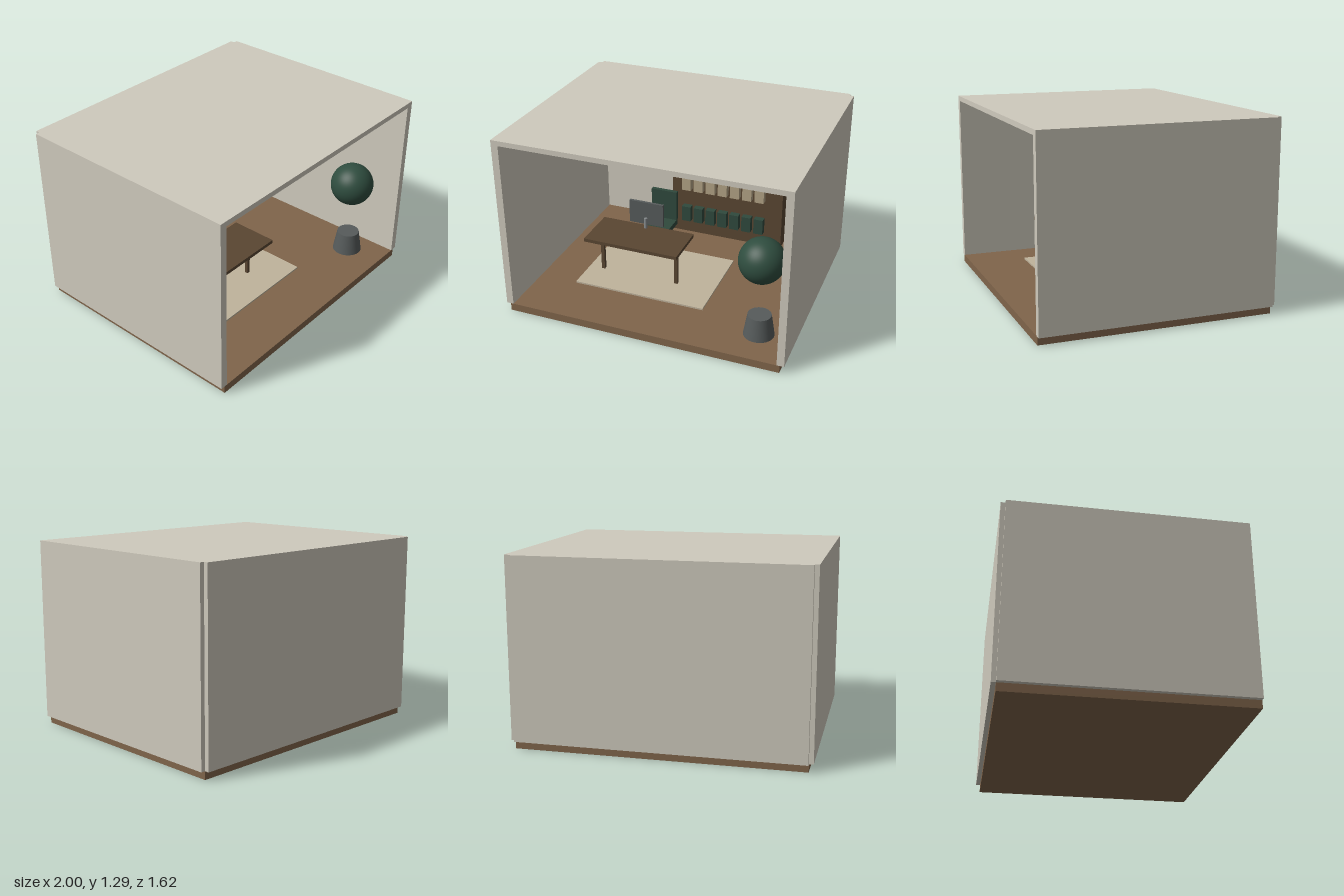
import * as THREE from 'three';

const mat = (color) => new THREE.MeshStandardMaterial({ color });
const wall = mat(0xcfcabd), floorWood = mat(0x80654b), darkWood = mat(0x5a4632);
const rugCloth = mat(0xbfb39c), green = mat(0x30493d), leaf = mat(0x2f4d3f);
const darkGreen = mat(0x283d33), grey = mat(0x565b5b), metal = mat(0x858a8c), tan = mat(0xb3a385);

export function createModel() {
  const room = new THREE.Group();
  room.name = 'officeRoom';

  const add = (name, geometry, material, parent = room) => {
    const mesh = new THREE.Mesh(geometry, material);
    mesh.name = name;
    parent.add(mesh);
    return mesh;
  };
  // Box given by its [min, max] range on each axis
  const box = (name, [x0, x1], [y0, y1], [z0, z1], material, parent) =>
    add(name, new THREE.BoxGeometry(x1 - x0, y1 - y0, z1 - z0), material, parent)
      .position.set((x0 + x1) / 2, (y0 + y1) / 2, (z0 + z1) / 2);
  const cylinder = (name, rTop, rBottom, [y0, y1], x, z, material, parent) =>
    add(name, new THREE.CylinderGeometry(rTop, rBottom, y1 - y0, 32), material, parent)
      .position.set(x, (y0 + y1) / 2, z);
  const group = (name) => {
    const g = new THREE.Group();
    g.name = name;
    room.add(g);
    return g;
  };

  // Shell, open at the front
  box('floor', [-0.97, 0.97], [0, 0.055], [-0.78, 0.81], floorWood);
  box('rightWall', [-1, -0.95], [0.055, 1.295], [-0.78, 0.81], wall);
  box('leftWall', [0.95, 1], [0.055, 1.295], [-0.78, 0.81], wall);
  box('backWall', [-0.97, 0.97], [0.055, 1.295], [-0.81, -0.76], wall);
  box('ceiling', [-0.95, 0.95], [1.26, 1.295], [-0.76, 0.81], wall);
  box('rug', [-0.665, 0.305], [0.055, 0.067], [-0.27, 0.41], rugCloth);

  // Desk on two central legs
  const desk = group('desk');
  box('deskTop', [-0.62, 0.085], [0.37, 0.395], [0, 0.34], darkWood, desk);
  for (const x of [-0.557, 0.017])
    box('deskLeg', [x - 0.0125, x + 0.0125], [0.06, 0.37], [0.155, 0.18], darkWood, desk);

  // Monitor
  const monitor = group('monitor');
  box('screen', [-0.4, -0.14], [0.42, 0.595], [0.01, 0.03], grey, monitor);
  cylinder('monitorStand', 0.012, 0.012, [0.395, 0.475], -0.27, 0.04, metal, monitor);

  // Chair
  const chair = group('chair');
  box('chairSeat', [-0.37, -0.17], [0.257, 0.297], [-0.33, -0.13], green, chair);
  box('chairBack', [-0.37, -0.17], [0.297, 0.53], [-0.34, -0.31], green, chair);
  cylinder('chairPost', 0.011, 0.011, [0.06, 0.257], -0.27, -0.23, metal, chair);

  // Bookcase with four rows of seven books
  const bookcase = group('bookcase');
  box('bookcaseBody', [-0.31, 0.575], [0.055, 1.03], [-0.72, -0.59], darkWood, bookcase);
  [[0.17, green], [0.438, tan], [0.703, grey], [0.967, darkGreen]].forEach(([y, material]) => {
    for (let i = 0; i < 7; i++) {
      const x = -0.18 + i * 0.0975;
      box('book', [x - 0.036, x + 0.036], [y, y + 0.123], [-0.595, -0.54], material, bookcase);
    }
  });

  // Ceiling lamp
  cylinder('lamp', 0.06, 0.06, [1.11, 1.135], -0.27, 0.1, metal);

  // Potted plant
  const plant = group('plant');
  cylinder('pot', 0.08, 0.105, [0.065, 0.22], 0.75, 0.54, grey, plant);
  add('foliage', new THREE.SphereGeometry(0.154, 48, 32), leaf, plant).position.set(0.75, 0.632, 0.54);

  return room;
}
